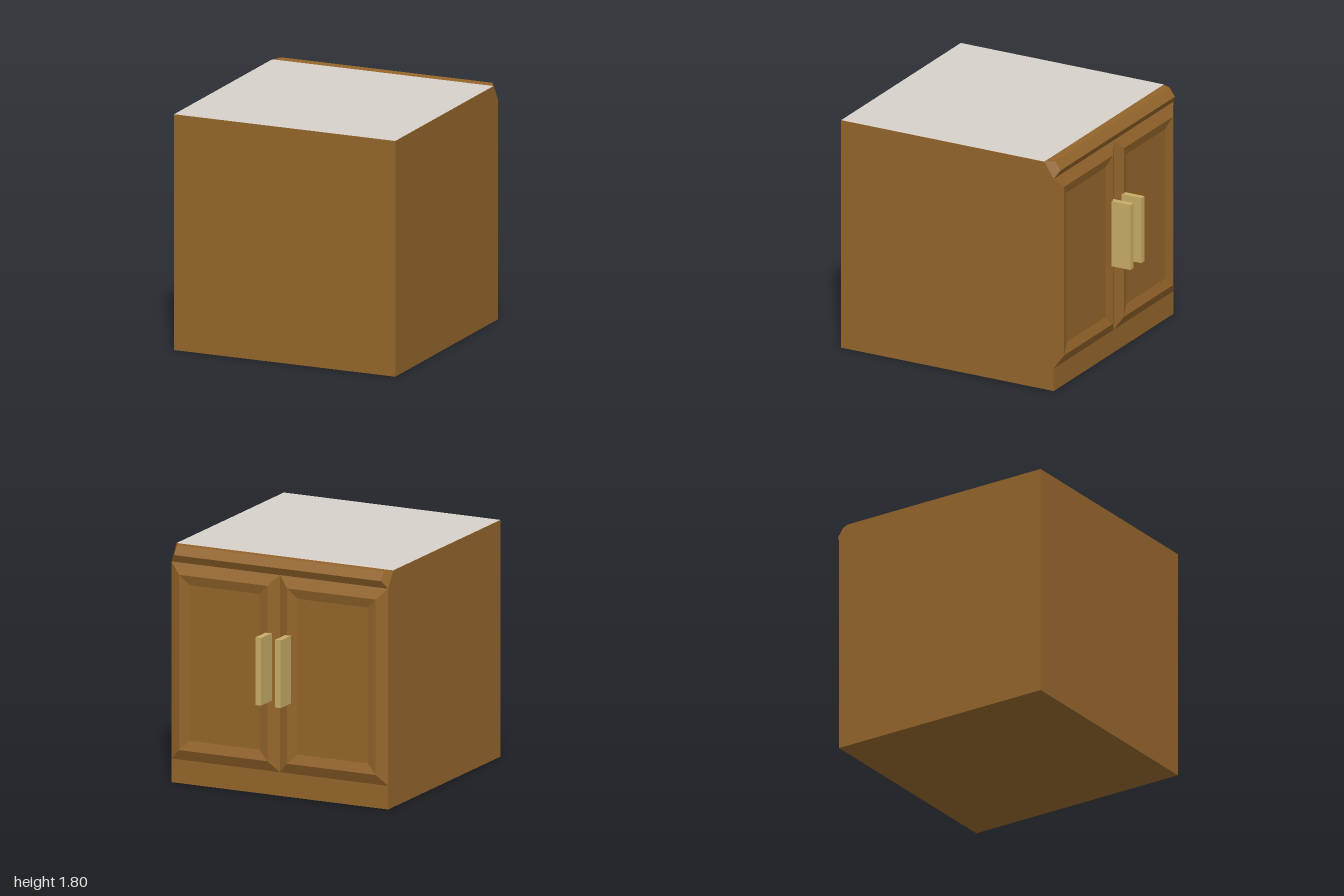
import * as THREE from 'three';

const wood = new THREE.MeshStandardMaterial({ color: 0x94652b, flatShading: true });
const brass = new THREE.MeshStandardMaterial({ color: 0xc8ad66 });
const stone = new THREE.MeshStandardMaterial({ color: 0xd6d1c9 });

function add(parent, name, geometry, material, x = 0, y = 0, z = 0) {
  const mesh = new THREE.Mesh(geometry, material);
  mesh.name = name;
  mesh.position.set(x, y, z);
  parent.add(mesh);
  return mesh;
}

// Skins successive four-cornered rings and caps the last one.
function steppedPanel(rings) {
  const pos = [];
  const quad = (a, b, c, d) => pos.push(...a, ...b, ...c, ...a, ...c, ...d);
  for (let r = 0; r + 1 < rings.length; r++) {
    for (let i = 0; i < 4; i++) {
      const j = (i + 1) % 4;
      quad(rings[r][i], rings[r][j], rings[r + 1][j], rings[r + 1][i]);
    }
  }
  quad(...rings[rings.length - 1]);
  const g = new THREE.BufferGeometry();
  g.setAttribute('position', new THREE.Float32BufferAttribute(pos, 3));
  g.computeVertexNormals();
  return g;
}

// Ring facing -z, running from a low [y, z] edge to a high [y, z] edge.
const ring = (x0, x1, low, high) => [[x0, ...low], [x0, ...high], [x1, ...high], [x1, ...low]];

export function createModel() {
  const group = new THREE.Group();
  group.name = 'cabinet';

  // Plinth, flush with the carcass
  add(group, 'plinth', new THREE.BoxGeometry(1.8, 0.18, 1.8), wood, 0, 0.09, 0.1);

  // Carcass: side profile with a chamfered upper edge, extruded across x
  const side = new THREE.Shape([[-1, 0.18], [0.8, 0.18], [0.8, 1.68], [0.72, 1.8], [-1, 1.8]]
    .map(([u, v]) => new THREE.Vector2(u, v)));
  const carcass = new THREE.ExtrudeGeometry(side, { depth: 1.8, bevelEnabled: false });
  carcass.rotateY(Math.PI / 2).translate(-0.9, 0, 0);
  add(group, 'carcass', carcass, wood);

  // Worktop surface
  const top = new THREE.PlaneGeometry(1.8, 1.72).rotateX(-Math.PI / 2);
  add(group, 'worktop', top, stone, 0, 1.802, 0.14);

  // Bevelled cornice on the chamfer
  add(group, 'cornice', steppedPanel([
    ring(-0.9, 0.9, [1.68, -0.8], [1.8, -0.72]),
    ring(-0.86, 0.86, [1.74, -0.835], [1.805, -0.79]),
  ]), wood);

  // Two doors, each with a bevelled edge and a sunken panel, and its pull
  for (const s of [1, -1]) {
    const name = s > 0 ? 'left' : 'right';
    const c = s * 0.45;
    const level = (inset, z) => ring(c - 0.45 + inset, c + 0.45 - inset,
      [0.18 + inset, z], [1.68 - inset, z]);
    add(group, name + 'Door', steppedPanel([
      level(0, -0.8), level(0.083, -0.842), level(0.158, -0.82),
    ]), wood);
    add(group, name + 'Handle', new THREE.BoxGeometry(0.047, 0.515, 0.18), brass,
      s > 0 ? 0.076 : -0.087, 0.982, -0.91);
  }
  return group;
}
